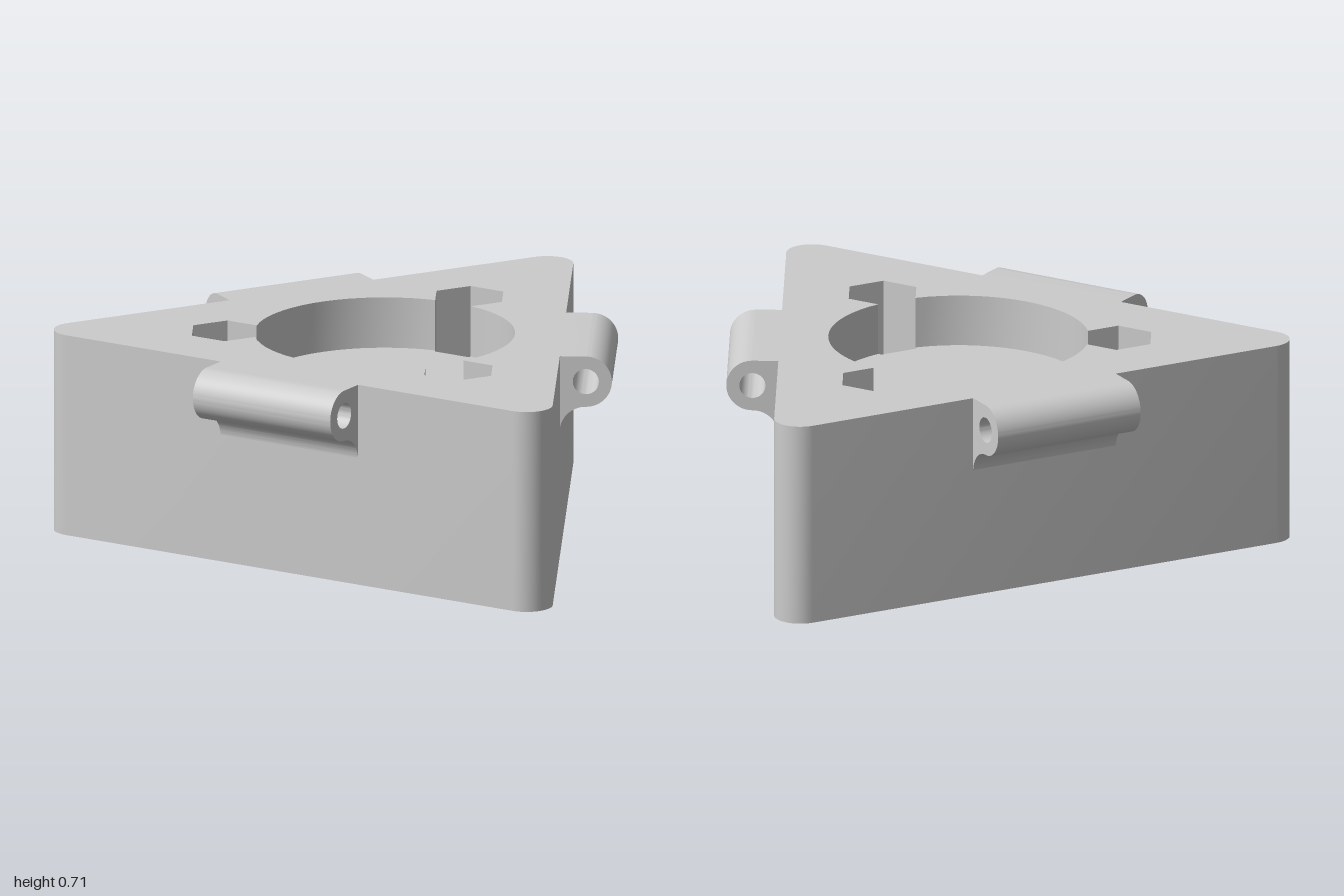
import * as THREE from 'three';
import { toCreasedNormals } from 'three/addons/utils/BufferGeometryUtils.js';

const HEIGHT = 0.715, RING_FLOOR = 0.535, NUT_FLOOR = 0.33;
const RING_R = 0.45, NUT_R = 0.133, HOLE_R = 0.075, HOLE_DIST = 0.547, DOME_R = 0.376;
const CORNER_DIST = 1.051, CORNER_R = 0.09, EDGE_DIST = 0.615;
const THIRD = Math.PI * 2 / 3, UP = Math.PI / 2;

const V = (x, y) => new THREE.Vector2(x, y);

// Plan points run counter-clockwise; plan y points to the back (-z).
function arc(cx, cy, r, from, to, n) {
  return Array.from({ length: n + 1 }, (_, i) => {
    const a = from + (to - from) * i / n;
    return V(cx + r * Math.cos(a), cy + r * Math.sin(a));
  });
}
const circle = (cx, cy, r, n, start = 0) => arc(cx, cy, r, start, start + Math.PI * 2, n).slice(0, n);

// Repeats a piece of contour around the three sides
const threefold = (pts) => [0, 1, 2].flatMap((k) => pts.map((p) => p.clone().rotateAround(V(0, 0), k * THIRD)));

// Horizontal face at height y
function cap(outline, holes, y, down = false) {
  const shape = new THREE.Shape(outline);
  shape.holes = holes.map((h) => new THREE.Path(h));
  const geo = new THREE.ShapeGeometry(shape).rotateX(-Math.PI / 2);
  if (down) {
    const idx = geo.index.array;
    for (let i = 0; i < idx.length; i += 3) [idx[i], idx[i + 1]] = [idx[i + 1], idx[i]];
    geo.computeVertexNormals();
  }
  return geo.translate(0, y, 0);
}

// Vertical wall along a closed contour
function wall(contour, y0, y1, inward = false) {
  const pts = inward ? [...contour].reverse() : contour;
  const pos = [];
  pts.forEach((a, i) => {
    const b = pts[(i + 1) % pts.length];
    pos.push(a.x, y0, -a.y, b.x, y0, -b.y, b.x, y1, -b.y);
    pos.push(a.x, y0, -a.y, b.x, y1, -b.y, a.x, y1, -a.y);
  });
  const geo = new THREE.BufferGeometry();
  geo.setAttribute('position', new THREE.Float32BufferAttribute(pos, 3));
  geo.computeVertexNormals();
  return toCreasedNormals(geo, 0.5);
}

export function createModel() {
  const model = new THREE.Group();
  const body = new THREE.Group();
  body.name = 'body';
  body.position.z = 0.172;
  model.add(body);
  const material = new THREE.MeshStandardMaterial({ color: 0xcccccc });
  const add = (name, geo, mat = material) => {
    const mesh = new THREE.Mesh(geo, mat);
    mesh.name = name;
    body.add(mesh);
    return mesh;
  };

  // Contours: rounded triangle, nut pockets, screw holes
  const outline = threefold(arc(0, CORNER_DIST, CORNER_R, UP - THIRD / 2, UP + THIRD / 2, 14));
  const centres = threefold([V(0, HOLE_DIST)]);
  const nuts = centres.map((c) => circle(c.x, c.y, NUT_R, 6));
  const holes = centres.map((c) => circle(c.x, c.y, HOLE_R, 32));
  const domeRim = circle(0, 0, DOME_R, 64);

  // Round recess merged with the nut pockets
  const flat = HOLE_DIST - NUT_R * Math.sqrt(3) / 2;
  const lineDist = NUT_R / 2 * Math.sqrt(3) / 2 - flat / 2;
  const half = Math.PI / 6 + Math.asin(lineDist / RING_R);
  const ringArc = arc(0, 0, RING_R, UP + half, UP + THIRD - half, 18);
  const [right, upRight, upLeft, left, lowLeft, lowRight] = nuts[0];
  const recess = threefold([right, upRight, upLeft, left, ...ringArc]);
  const recessFloor = threefold([lowRight, lowLeft, ...ringArc]);

  // Block
  add('blockSides', wall(outline, 0, HEIGHT));
  add('blockTop', cap(outline, [recess], HEIGHT));
  add('blockBottom', cap(outline, [...holes, domeRim], 0, true));

  // Recess
  add('recessWall', wall(recess, RING_FLOOR, HEIGHT, true));
  add('recessFloor', cap(recessFloor, [], RING_FLOOR));

  // Nut pockets and screw holes
  nuts.forEach((nut, i) => {
    add('nutPocketWall', wall(nut, NUT_FLOOR, RING_FLOOR, true));
    add('nutPocketFloor', cap(nut, [holes[i]], NUT_FLOOR));
    add('screwHole', wall(holes[i], 0, NUT_FLOOR, true));
  });

  // Domed hollow underneath
  const hollow = new THREE.MeshStandardMaterial({ color: 0xcccccc, side: THREE.DoubleSide });
  add('domeHollow', new THREE.SphereGeometry(DOME_R, 64, 20, 0, Math.PI * 2, 0, Math.PI / 2), hollow);

  // Hinge barrels: profile in (z, y), extruded along the edge
  const r = 0.09, axisZ = EDGE_DIST + 0.09, axisY = HEIGHT - r, halfLength = 0.28;
  const profile = new THREE.Shape();
  profile.moveTo(EDGE_DIST, HEIGHT);
  profile.lineTo(axisZ, HEIGHT);
  profile.absarc(axisZ, axisY, r, Math.PI / 2, -Math.PI / 2, true);
  profile.absarc(axisZ, axisY - 2 * r, r, Math.PI / 2, Math.PI, false);
  profile.closePath();
  const pin = new THREE.Path();
  pin.absarc(axisZ, axisY, 0.045, 0, Math.PI * 2, false);
  profile.holes.push(pin);
  const barrel = toCreasedNormals(
    new THREE.ExtrudeGeometry(profile, { depth: 2 * halfLength, bevelEnabled: false, curveSegments: 20 })
      .rotateY(-Math.PI / 2).translate(halfLength, 0, 0), 0.6);
  for (let k = 0; k < 3; k++) add('hingeBarrel', barrel).rotation.y = k * THIRD;

  return model;
}
